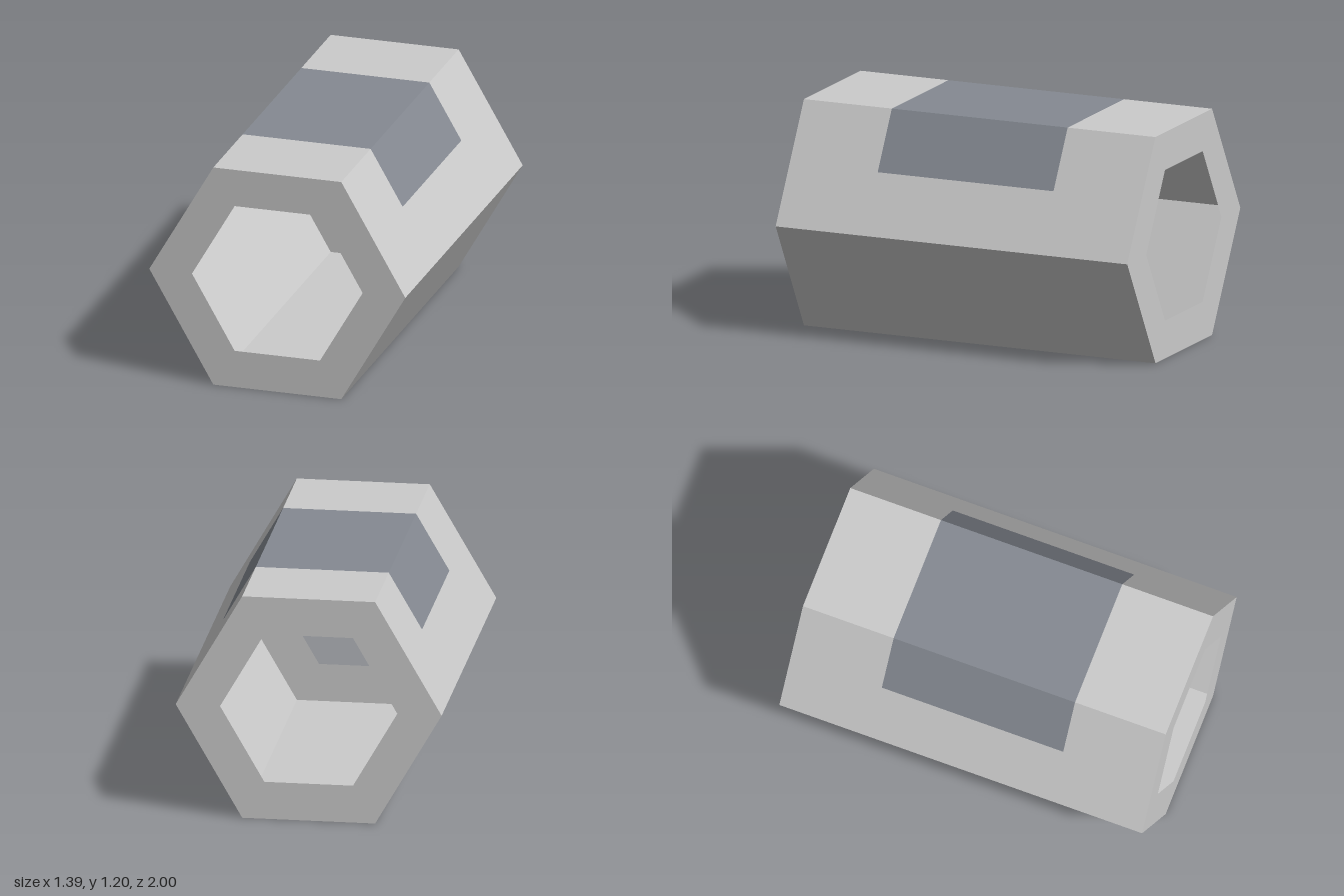
import * as THREE from 'three';

const R = 0.693, CY = 0.6, HALF = 1, PATCH = 0.5;

// Hexagon corner i, clockwise from the left point as seen from the front
function corner(i, r = R) {
  const a = Math.PI - (i * Math.PI) / 3;
  return new THREE.Vector2(r * Math.cos(a), CY + r * Math.sin(a));
}

export function createModel() {
  const group = new THREE.Group();
  const hullGrey = new THREE.MeshStandardMaterial({ color: 0xcccccc, side: THREE.DoubleSide });
  hullGrey.name = 'hull grey';
  const panelSlate = new THREE.MeshStandardMaterial({ color: 0x858a92, side: THREE.DoubleSide });
  panelSlate.name = 'panel slate';

  function add(name, geometry, material) {
    const mesh = new THREE.Mesh(geometry, material);
    mesh.name = name;
    group.add(mesh);
    return mesh;
  }

  // Thin wall running from a to b across the section and z0 to z1 along the tube
  function wall(name, material, a, b, z0 = -HALF, z1 = HALF) {
    const geometry = new THREE.PlaneGeometry(a.distanceTo(b), z1 - z0)
      .rotateX(-Math.PI / 2)
      .rotateZ(Math.atan2(b.y - a.y, b.x - a.x))
      .translate((a.x + b.x) / 2, (a.y + b.y) / 2, (z0 + z1) / 2);
    add(name, geometry, material);
  }

  // Three lower walls in one piece
  const c = [0, 1, 2, 3, 4, 5].map((i) => corner(i));
  wall('lowerRightWall', hullGrey, c[3], c[4]);
  wall('floor', hullGrey, c[4], c[5]);
  wall('lowerLeftWall', hullGrey, c[5], c[0]);

  // Three upper walls, plain at both ends
  for (let i = 0; i < 3; i++) {
    wall('upperWallBack', hullGrey, c[i], c[i + 1], -HALF, -PATCH);
    wall('upperWallFront', hullGrey, c[i], c[i + 1], PATCH, HALF);
  }

  // Middle section: slate panel wraps over the top and halfway down the slopes
  const midA = c[0].clone().lerp(c[1], 0.5);
  const midB = c[2].clone().lerp(c[3], 0.5);
  wall('slopeBelowPanel', hullGrey, c[0], midA, -PATCH, PATCH);
  wall('slopePanel', panelSlate, midA, c[1], -PATCH, PATCH);
  wall('roofPanel', panelSlate, c[1], c[2], -PATCH, PATCH);
  wall('slopePanel', panelSlate, c[2], midB, -PATCH, PATCH);
  wall('slopeBelowPanel', hullGrey, midB, c[3], -PATCH, PATCH);

  // Flat hexagonal rings closing the ends around the opening
  const ring = new THREE.Shape(c);
  ring.holes.push(new THREE.Path([0, 1, 2, 3, 4, 5].map((i) => corner(i, R * 2 / 3))));
  const ringGeometry = new THREE.ShapeGeometry(ring);
  add('frontRing', ringGeometry, hullGrey).position.z = HALF;
  const back = add('backRing', ringGeometry, hullGrey);
  back.position.z = -HALF;
  back.rotation.y = Math.PI;

  return group;
}
